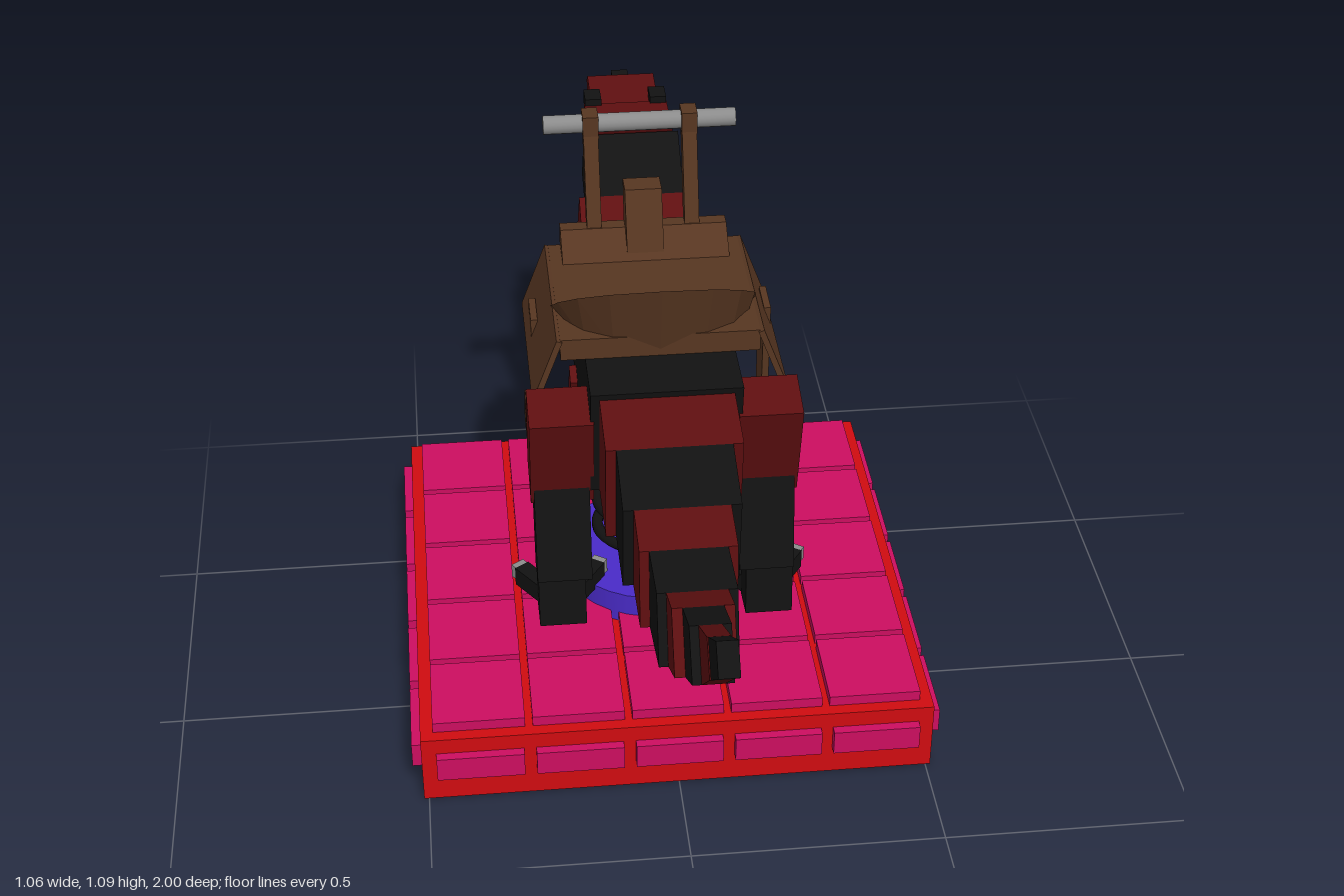
import * as THREE from 'three';

const mat = (name, color, side = THREE.FrontSide) => {
  const m = new THREE.MeshStandardMaterial({ color, side });
  m.name = name;
  return m;
};

export function createModel() {
  const red = mat('base red', 0xd00c10);
  const pink = mat('tile magenta', 0xcc0e60);
  const blue = mat('plate blue', 0x4a2bc8);
  const black = mat('hide black', 0x121212);
  const maroon = mat('hide dark red', 0x5e0f10);
  const brown = mat('saddle brown', 0x573621, THREE.DoubleSide);
  const grey = mat('metal grey', 0x8c8c8c);
  const root = new THREE.Group();
  root.name = 'springRider';

  const add = (name, geo, m, x = 0, y = 0, z = 0, parent = root) => {
    const mesh = new THREE.Mesh(geo, m);
    mesh.name = name;
    mesh.position.set(x, y, z);
    parent.add(mesh);
    return mesh;
  };
  const box = (name, w, h, d, m, x, y, z, parent) =>
    add(name, new THREE.BoxGeometry(w, h, d), m, x, y, z, parent);
  // side outline of [z, y] points, extruded across x
  const prism = (name, pts, x, width, m) => {
    const shape = new THREE.Shape(pts.map(([z, y]) => new THREE.Vector2(-z, y)));
    const geo = new THREE.ExtrudeGeometry(shape, { depth: width, bevelEnabled: false });
    geo.translate(0, 0, -width / 2).rotateY(Math.PI / 2);
    return add(name, geo, m, x);
  };
  // rectangular bar between two [z, y] points at a fixed x
  const bar = (name, x, [z0, y0], [z1, y1], w, d, m) => {
    const mesh = box(name, w, Math.hypot(z1 - z0, y1 - y0), d, m, x, (y0 + y1) / 2, (z0 + z1) / 2);
    mesh.rotation.x = Math.atan2(z1 - z0, y1 - y0);
    return mesh;
  };
  // row of blocks along a spine of joints [z, y, height, width], colours alternating
  const chain = (name, joints, colors) => {
    const ends = joints.map(([z, y, h], i) => {
      const a = joints[Math.max(i - 1, 0)], b = joints[Math.min(i + 1, joints.length - 1)];
      const dz = b[0] - a[0], dy = b[1] - a[1];
      const k = h / 2 / Math.hypot(dz, dy) * Math.sign(dz);
      return [[z - dy * k, y + dz * k], [z + dy * k, y - dz * k]];
    });
    for (let i = 0; i + 1 < joints.length; i++) {
      const outline = [...ends[i], ...ends[i + 1].toReversed()];
      prism(name, outline, 0, joints[i][3], colors[i % 2]);
    }
  };

  // Tiled base
  const cz = -0.225;
  box('baseBlock', 1.02, 0.15, 1.02, red, 0, 0.075, cz);
  for (let i = -2; i <= 2; i++) {
    const t = i * 0.197;
    for (let j = -2; j <= 2; j++) box('topTile', 0.182, 0.022, 0.182, pink, t, 0.161, cz + j * 0.197);
    for (const s of [-1, 1]) {
      box('edgeTile', 0.173, 0.053, 0.02, pink, t, 0.089, cz + s * 0.519);
      box('edgeTile', 0.02, 0.053, 0.173, pink, s * 0.519, 0.089, cz + t);
    }
  }

  // Spring between two plates
  add('lowerPlate', new THREE.CylinderGeometry(0.195, 0.195, 0.07, 32), blue, 0, 0.185, cz);
  add('upperPlate', new THREE.CylinderGeometry(0.147, 0.147, 0.035, 32), blue, 0, 0.507, cz);
  const helix = new THREE.Curve();
  helix.getPoint = (t, p = new THREE.Vector3()) =>
    p.set(Math.sin(t * Math.PI * 8) * 0.12, 0.225 + 0.265 * t, cz + Math.cos(t * Math.PI * 8) * 0.12);
  add('spring', new THREE.TubeGeometry(helix, 160, 0.012, 8), black);

  // Tail, body and neck
  chain('tailSegment', [
    [0.02, 0.65, 0.24, 0.26], [0.17, 0.635, 0.223, 0.22], [0.31, 0.61, 0.19, 0.18],
    [0.43, 0.605, 0.165, 0.144], [0.58, 0.63, 0.14, 0.11], [0.675, 0.677, 0.122, 0.072],
    [0.775, 0.73, 0.1, 0.04], [0.885, 0.813, 0.07, 0.036], [0.98, 0.888, 0.06],
  ], [maroon, black]);
  chain('neckSegment', [
    [-0.38, 0.63, 0.22, 0.27], [-0.485, 0.685, 0.13, 0.24],
    [-0.632, 0.797, 0.142, 0.2], [-0.75, 0.872, 0.16],
  ], [black, maroon]);
  prism('body', [[0.05, 0.78], [-0.42, 0.78], [-0.47, 0.73], [-0.47, 0.525], [0, 0.525]], 0, 0.294, black);

  // Head
  prism('skull', [[-0.71, 0.945], [-0.84, 0.945], [-0.86, 0.8], [-0.775, 0.8]], 0, 0.178, maroon);
  prism('snout', [[-0.83, 0.935], [-0.965, 0.95], [-0.99, 0.93], [-0.975, 0.8], [-0.84, 0.8]], 0, 0.145, maroon);
  prism('lowerJaw', [[-0.71, 0.79], [-0.925, 0.768], [-0.925, 0.75], [-0.79, 0.75]], 0, 0.12, black);
  box('noseStripe', 0.036, 0.04, 0.075, black, 0, 0.925, -0.962);
  const tooth = new THREE.ConeGeometry(0.008, 0.03, 4);
  for (let i = -2; i <= 2; i++) add('frontTooth', tooth, grey, i * 0.027, 0.788, -0.967).rotation.x = Math.PI;

  for (const s of [-1, 1]) {
    // Face details
    box('brow', 0.035, 0.03, 0.05, black, s * 0.07, 0.945, -0.855);
    box('eye', 0.008, 0.025, 0.03, black, s * 0.089, 0.905, -0.785);
    box('nostril', 0.008, 0.02, 0.02, black, s * 0.073, 0.91, -0.95);
    for (let i = 0; i < 8; i++) {
      add('upperTooth', tooth, grey, s * 0.06, 0.788, -0.85 - i * 0.015).rotation.x = Math.PI;
      add('lowerTooth', tooth, grey, s * 0.052, 0.775, -0.81 - i * 0.015);
    }

    // Legs and feet
    prism('thigh', [[0.045, 0.71], [-0.055, 0.735], [-0.105, 0.535], [-0.01, 0.495]], s * 0.203, 0.125, maroon);
    bar('shin', s * 0.204, [-0.012, 0.32], [-0.045, 0.54], 0.11, 0.085, black);
    bar('ankle', s * 0.21, [-0.005, 0.215], [-0.014, 0.34], 0.095, 0.078, black);
    for (const t of [-1, 0, 1]) {
      const toe = new THREE.Group();
      toe.name = 'toe';
      toe.position.set(s * 0.207 + t * 0.025, 0.232, -0.05);
      toe.rotation.y = -t * 0.6;
      root.add(toe);
      box('toePad', 0.034, 0.042, 0.1, black, 0, 0, -0.045, toe);
      box('toeTip', 0.03, 0.03, 0.03, grey, 0, 0.005, -0.095, toe);
      add('toeClaw', tooth, grey, 0, -0.005, -0.118, toe).rotation.x = -2.1;
    }

    // Arms
    bar('upperArm', s * 0.147, [-0.405, 0.475], [-0.37, 0.56], 0.03, 0.045, maroon);
    bar('forearm', s * 0.147, [-0.435, 0.435], [-0.39, 0.485], 0.026, 0.03, maroon);
    for (const t of [-1, 0, 1]) {
      bar('finger', s * 0.143 + t * 0.013, [-0.435, 0.42], [-0.43, 0.445], 0.01, 0.012, maroon);
      bar('fingerClaw', s * 0.14 + t * 0.015, [-0.428, 0.395], [-0.435, 0.42], 0.01, 0.012, grey);
    }

    // Saddle flaps, straps and triangular stirrups
    box('saddleFlap', 0.012, 0.145, 0.375, brown, s * 0.222, 0.757, -0.263).rotation.z = s * 0.36;
    bar('stirrupStrap', s * 0.236, [-0.32, 0.53], [-0.31, 0.76], 0.014, 0.08, brown);
    const ring = [[-0.32, 0.55], [-0.285, 0.462], [-0.375, 0.455]];
    ring.forEach((p, i) => bar('stirrupRing', s * 0.236, p, ring[(i + 1) % 3], 0.045, 0.018, brown));

    // Handle posts
    bar('handlePost', s * 0.1, [-0.425, 0.79], [-0.507, 1.06], 0.03, 0.032, brown);
    box('handleClamp', 0.032, 0.046, 0.046, brown, s * 0.1, 1.068, -0.51);
  }
  add('handlebar', new THREE.CylinderGeometry(0.019, 0.019, 0.39, 16), grey, 0, 1.068, -0.51).rotation.z = Math.PI / 2;

  // Saddle seat, raised front and horn
  box('saddleSeat', 0.39, 0.045, 0.37, brown, 0, 0.803, -0.265);
  prism('saddleFront', [[-0.36, 0.82], [-0.43, 0.87], [-0.46, 0.87], [-0.46, 0.77]], 0, 0.34, brown);
  prism('saddleHorn', [[-0.38, 0.83], [-0.43, 0.955], [-0.48, 0.955], [-0.455, 0.82]], 0, 0.075, brown);

  // Cantle: flared wall with a sloping rest inside a rounded rim
  const arc = (rx, y, dy, dz) => i => {
    const a = i * Math.PI / 8, c = Math.cos(a), k = Math.sin(a);
    return [rx * Math.sign(c) * Math.abs(c) ** 0.75, y + dy * k, -0.22 + dz * k];
  };
  const rings = [arc(0.185, 0.785, 0.01, 0.14), arc(0.205, 0.82, 0.125, 0.175),
    arc(0.14, 0.825, 0.04, 0.09), () => [0, 0.825, -0.24]];
  const corners = [];
  for (let r = 0; r < 3; r++) {
    const a = rings[r], b = rings[r + 1];
    for (let i = 0; i < 8; i++) {
      corners.push(a(i), b(i + 1), b(i), a(i), a(i + 1), b(i + 1));
    }
  }
  const cantle = new THREE.BufferGeometry();
  cantle.setAttribute('position', new THREE.Float32BufferAttribute(corners.flat(), 3));
  cantle.computeVertexNormals();
  add('saddleCantle', cantle, brown);

  return root;
}
